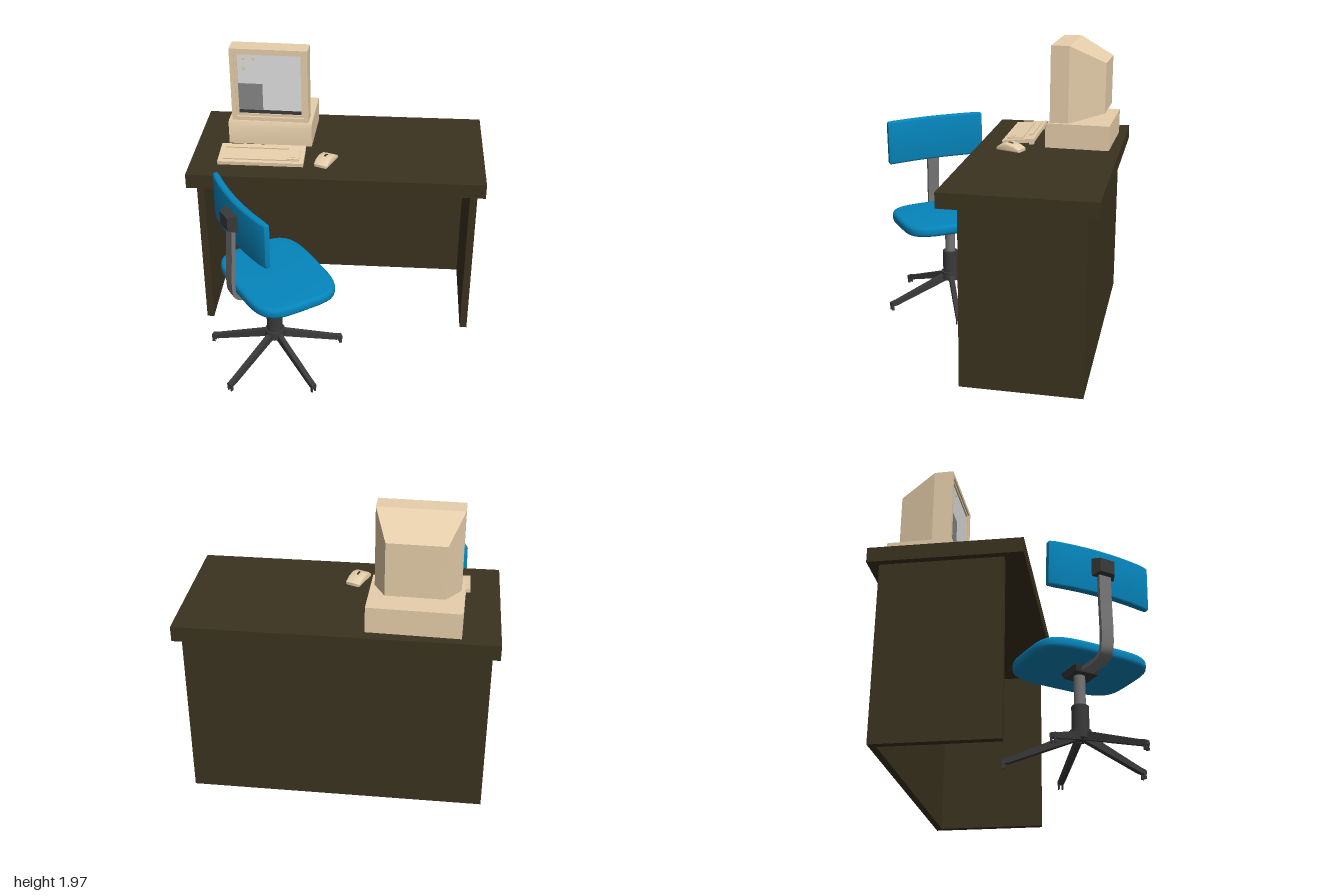
import * as THREE from 'three';
import { toCreasedNormals } from 'three/addons/utils/BufferGeometryUtils.js';

const mat = (name, color) => Object.assign(new THREE.MeshStandardMaterial({ color }), { name });

export function createModel() {
  const wood = mat('dark wood', 0x3b331f);
  const beige = mat('beige plastic', 0xe8d0ac);
  const blue = mat('blue upholstery', 0x0585bc);
  const steel = mat('grey steel', 0x767676);
  const black = mat('black plastic', 0x3a3a3b);
  const glass = mat('screen grey', 0xe0e0e0);
  const pane = mat('screen window grey', 0x868686);

  const model = new THREE.Group();
  const group = (name, parent, x = 0, y = 0, z = 0) => {
    const g = new THREE.Group();
    g.name = name;
    g.position.set(x, y, z);
    parent.add(g);
    return g;
  };
  const add = (parent, name, geo, material, x = 0, y = 0, z = 0) => {
    const m = new THREE.Mesh(geo, material);
    m.name = name;
    m.position.set(x, y, z);
    parent.add(m);
    return m;
  };
  // Box given by its minimum and maximum on each axis
  const span = (parent, name, material, x0, x1, y0, y1, z0, z1) =>
    add(parent, name, new THREE.BoxGeometry(x1 - x0, y1 - y0, z1 - z0), material,
      (x0 + x1) / 2, (y0 + y1) / 2, (z0 + z1) / 2);
  const shapeOf = (pts) => new THREE.Shape(pts.map(([x, y]) => new THREE.Vector2(x, y)));
  // Plan outline of [x, z] points raised to a height, with rounded rims
  const cushion = (pts, height, bevel) => {
    const geo = new THREE.ExtrudeGeometry(shapeOf(pts.map(([x, z]) => [x, -z])), {
      depth: height - 2 * bevel, bevelEnabled: true, bevelThickness: bevel,
      bevelSize: bevel, bevelOffset: -bevel, bevelSegments: 3,
    });
    geo.rotateX(-Math.PI / 2).translate(0, bevel, 0);
    return toCreasedNormals(geo, 0.7);
  };
  // Side outline of [z, y] points extruded across a width
  const sideProfile = (pts, width, bevel = 0) => {
    const geo = new THREE.ExtrudeGeometry(shapeOf(pts), {
      depth: width - 2 * bevel, bevelEnabled: bevel > 0, bevelThickness: bevel,
      bevelSize: bevel, bevelOffset: -bevel, bevelSegments: 2,
    });
    geo.rotateY(-Math.PI / 2).translate(width / 2 - bevel, 0, 0);
    return toCreasedNormals(geo, 0.6);
  };

  // Desk
  const desk = group('desk', model);
  span(desk, 'deskTop', wood, -1, 1, 1.17, 1.27, -0.85, 0.125);
  for (const s of [-1, 1]) {
    add(desk, 'sidePanel', new THREE.BoxGeometry(0.05, 1.17, 0.78), wood, s * 0.931, 0.585, -0.39);
  }
  span(desk, 'backPanel', wood, -0.906, 0.906, 0, 1.17, -0.78, -0.735);

  // Computer: base unit and monitor, turned slightly
  const computer = group('computer', model, -0.479, 1.27, -0.566);
  computer.rotation.y = -0.03;
  add(computer, 'baseUnit', sideProfile(
    [[-0.22, 0], [0.22, 0], [0.22, 0.13], [0.207, 0.17], [-0.22, 0.17]], 0.584), beige);

  const monitor = group('monitor', computer, 0, 0.17, 0);
  const rect = (path, w, h) => path.moveTo(-w / 2, -h / 2).lineTo(w / 2, -h / 2)
    .lineTo(w / 2, h / 2).lineTo(-w / 2, h / 2).closePath();
  const frame = (w, h, holeW, holeH, depth) => {
    const s = rect(new THREE.Shape(), w, h);
    s.holes.push(rect(new THREE.Path(), holeW, holeH));
    return new THREE.ExtrudeGeometry(s, { depth, bevelEnabled: false });
  };
  add(monitor, 'bezel', frame(0.535, 0.53, 0.475, 0.475, 0.025), beige, 0, 0.265, 0.17);
  add(monitor, 'innerBezel', frame(0.475, 0.475, 0.437, 0.437, 0.015), beige, 0, 0.268, 0.17);
  add(monitor, 'casing', new THREE.BoxGeometry(0.535, 0.53, 0.102), beige, 0, 0.265, 0.119);
  // Rear housing narrows to a smaller back face
  const rear = new THREE.BoxGeometry(0.535, 0.53, 0.24);
  const rp = rear.attributes.position;
  for (let i = 0; i < rp.count; i++) {
    if (rp.getZ(i) < 0) rp.setXY(i, rp.getX(i) * 0.68, rp.getY(i) > 0 ? 0.145 : -0.2);
  }
  rear.computeVertexNormals();
  add(monitor, 'rearHousing', rear, beige, 0, 0.265, -0.052);
  // Screen with thin painted panels
  const screen = group('screen', monitor, 0, 0.268, 0.17);
  span(screen, 'screenGlass', glass, -0.2185, 0.2185, -0.2185, 0.2185, 0, 0.005);
  span(screen, 'screenBar', black, -0.2185, 0.2185, -0.2185, -0.193, 0.005, 0.008);
  span(screen, 'screenWindow', pane, -0.2185, -0.05, -0.193, 0.003, 0.005, 0.008);
  for (const [x, y] of [[-0.175, 0.185], [-0.105, 0.185], [-0.175, 0.11]]) {
    add(screen, 'screenIcon', new THREE.BoxGeometry(0.02, 0.02, 0.003), beige, x, y, 0.0065);
  }

  // Keyboard: tilted slab with raised key blocks
  const keyboard = group('keyboard', model, -0.517, 1.296, -0.143);
  keyboard.rotation.x = 0.1;
  span(keyboard, 'keyboardBody', beige, -0.292, 0.292, -0.014, 0.012, -0.112, 0.112);
  span(keyboard, 'functionKeys', beige, -0.258, 0.177, 0.012, 0.02, -0.087, -0.057);
  span(keyboard, 'mainKeys', beige, -0.258, 0.26, 0.012, 0.02, -0.032, 0.083);
  for (const [x, z] of [[0.185, 0.068], [0.215, 0.068], [0.245, 0.068], [0.215, 0.043]]) {
    add(keyboard, 'arrowKey', new THREE.BoxGeometry(0.024, 0.006, 0.02), beige, x, 0.023, z);
  }
  for (const s of [-1, 1]) {
    add(keyboard, 'keyboardFoot', new THREE.BoxGeometry(0.05, 0.024, 0.03), beige, s * 0.24, -0.024, -0.085);
  }

  // Mouse
  const mouse = group('mouse', model, -0.077, 1.27, -0.122);
  mouse.rotation.y = -0.37;
  add(mouse, 'mouseBody', sideProfile([[-0.09, 0], [0.09, 0], [0.09, 0.018], [0.06, 0.042],
    [0.01, 0.053], [-0.05, 0.042], [-0.09, 0.02]], 0.104, 0.012), beige);
  const wheel = add(mouse, 'mouseWheel', new THREE.BoxGeometry(0.012, 0.008, 0.034), black, 0, 0.051, 0);
  wheel.rotation.x = -0.15;

  // Chair, facing away to the rear and left of the desk
  const chair = group('chair', model, -0.395, 0, 0.397);
  const base = group('chairBase', chair);
  const tube = (name, r, y0, y1, material) =>
    add(base, name, new THREE.CylinderGeometry(r, r, y1 - y0, 16), material, 0, (y0 + y1) / 2, 0);
  tube('hub', 0.068, 0.17, 0.23, black);
  tube('sleeve', 0.055, 0.23, 0.39, black);
  tube('gasLift', 0.037, 0.39, 0.6, steel);
  const legShape = [[0.03, 0.165], [0.44, 0.034], [0.485, 0.03], [0.485, 0.058], [0.44, 0.07], [0.06, 0.212], [0.03, 0.215]];
  for (let i = 0; i < 5; i++) {
    const leg = group('leg', base);
    leg.rotation.y = Math.PI / 2 - THREE.MathUtils.degToRad(51 + 72 * i);
    add(leg, 'legBeam', sideProfile(legShape, 0.034), black);
    for (const s of [-1, 1]) {
      add(leg, 'glide', new THREE.BoxGeometry(0.009, 0.045, 0.02), black, s * 0.0125, 0.0225, 0.473);
    }
  }

  const upper = group('chairUpper', chair);
  upper.rotation.set(0, 2.178, 0.02, 'YXZ');
  const plate = new THREE.CylinderGeometry(0.13, 0.11, 0.04, 4, 1).rotateY(Math.PI / 4).toNonIndexed();
  plate.computeVertexNormals();
  add(upper, 'seatPlate', plate, black, 0, 0.612, 0);

  // Seat: squarish oval with soft rims
  const oval = [];
  for (let i = 0; i < 40; i++) {
    const a = (i / 40) * Math.PI * 2;
    const soft = (v) => Math.sign(v) * Math.sqrt(Math.abs(v));
    oval.push([0.39 * soft(Math.cos(a)), 0.025 - 0.305 * soft(Math.sin(a))]);
  }
  add(upper, 'seat', cushion(oval, 0.075, 0.025), blue, 0, 0.63, 0);

  // Backrest: shallow arc in plan with tapered, forward-curving ends
  const front = [], back = [];
  for (let i = 0; i <= 14; i++) {
    const x = -0.365 + (0.73 * i) / 14;
    const z = -0.258 + 0.27 * x * x;
    const half = i % 14 === 0 ? 0.017 : 0.024;
    front.unshift([x, z + half]);
    back.push([x, z - half]);
  }
  add(upper, 'backrest', cushion([...back, ...front], 0.32, 0.015), blue, 0, 1.045, 0);

  // Flat steel bar from under the seat up to the backrest
  const path = new THREE.CatmullRomCurve3([[0, 0.612], [-0.13, 0.61], [-0.25, 0.612], [-0.3, 0.645],
    [-0.314, 0.73], [-0.304, 0.95], [-0.292, 1.24]].map(([z, y]) => new THREE.Vector3(z, y, 0)));
  const sideA = [], sideB = [];
  for (let i = 0; i <= 24; i++) {
    const p = path.getPoint(i / 24), t = path.getTangent(i / 24);
    sideA.push([p.x - t.y * 0.013, p.y + t.x * 0.013]);
    sideB.unshift([p.x + t.y * 0.013, p.y - t.x * 0.013]);
  }
  add(upper, 'backBar', sideProfile([...sideA, ...sideB], 0.085), steel);

  // Bracket behind the backrest, narrowing to the rear
  const bracket = new THREE.BoxGeometry(0.16, 0.125, 0.06);
  const bp = bracket.attributes.position;
  for (let i = 0; i < bp.count; i++) {
    if (bp.getZ(i) < 0) bp.setXY(i, bp.getX(i) * 0.65, bp.getY(i) * 0.75);
  }
  bracket.computeVertexNormals();
  add(upper, 'backBracket', bracket, black, 0, 1.225, -0.31);

  return model;
}
